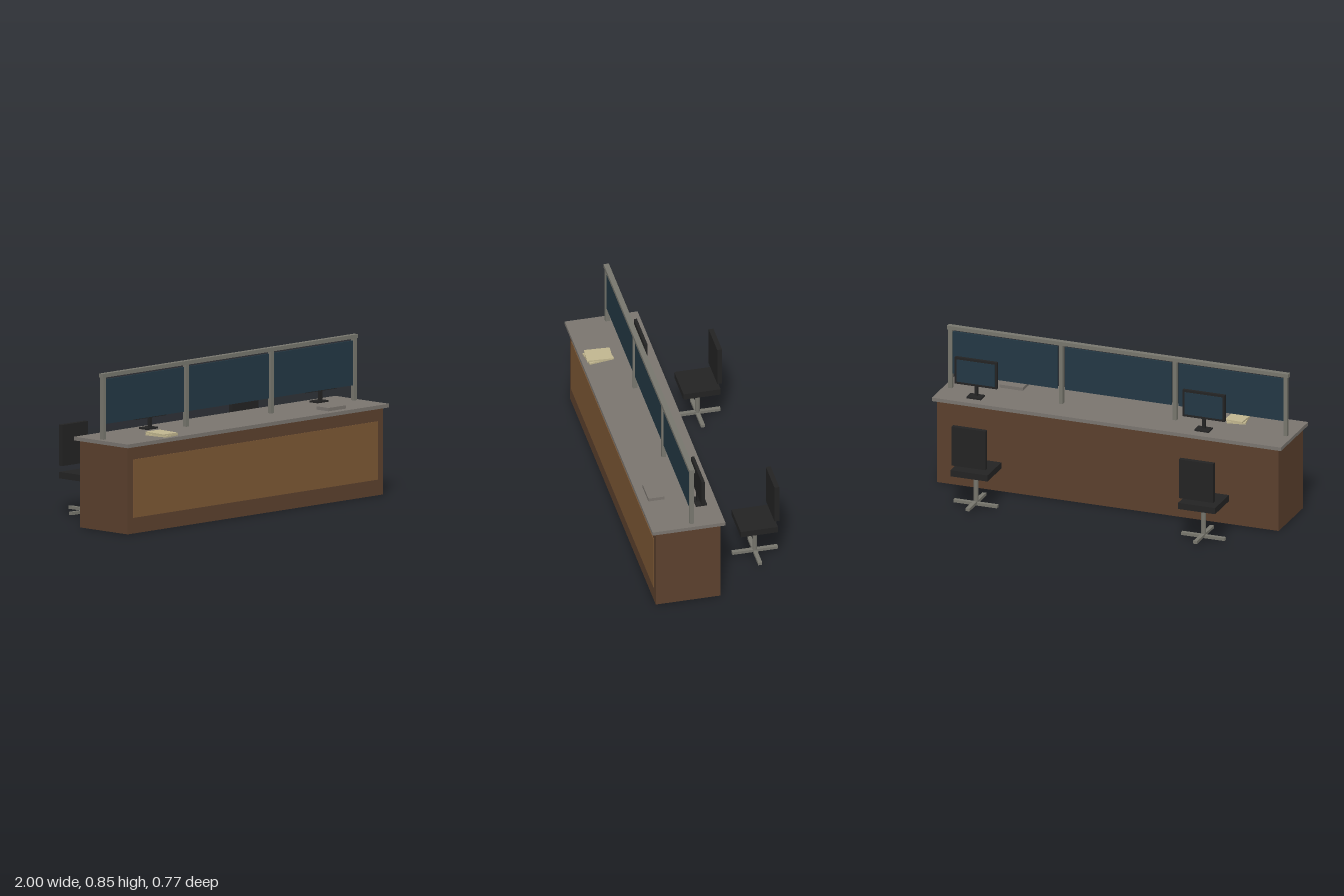
import * as THREE from 'three';

const mat = (name, color) => {
  const m = new THREE.MeshStandardMaterial({ color });
  m.name = name;
  return m;
};

export function createModel() {
  const wood = mat('dark wood', 0x5b402d);
  const panelWood = mat('light wood', 0x7c5734);
  const stone = mat('counter grey', 0x7a756f);
  const metal = mat('metal grey', 0x77766d);
  const glass = mat('blue glass', 0x233844);
  const black = mat('black', 0x232323);
  const paper = mat('paper', 0xc1b68f);

  const model = new THREE.Group();
  model.name = 'serviceCounter';

  // Box given by its [min, max] extent on each axis
  const box = (parent, name, material, [x0, x1], [y0, y1], [z0, z1]) => {
    const mesh = new THREE.Mesh(new THREE.BoxGeometry(x1 - x0, y1 - y0, z1 - z0), material);
    mesh.position.set((x0 + x1) / 2, (y0 + y1) / 2, (z0 + z1) / 2);
    mesh.name = name;
    parent.add(mesh);
    return mesh;
  };
  const group = (name, x) => {
    const g = new THREE.Group();
    g.name = name;
    g.position.x = x;
    model.add(g);
    return g;
  };

  // Counter
  box(model, 'counterBase', wood, [-0.978, 0.978], [0, 0.47], [0.008, 0.362]);
  box(model, 'frontPanel', panelWood, [-0.937, 0.937], [0.085, 0.4], [0.358, 0.365]);
  box(model, 'counterTop', stone, [-1, 1], [0.47, 0.49], [-0.015, 0.385]);

  // Divider screen: posts, top rail and three panes
  for (const x of [-0.96, -0.326, 0.326, 0.96]) {
    box(model, 'dividerPost', metal, [x - 0.011, x + 0.011], [0.49, 0.826], [0.15, 0.174]);
  }
  box(model, 'dividerRail', metal, [-0.978, 0.978], [0.825, 0.846], [0.148, 0.177]);
  for (const x of [-0.652, 0, 0.652]) {
    box(model, 'glassPane', glass, [x - 0.305, x + 0.305], [0.572, 0.813], [0.157, 0.167]);
  }

  // Monitors, facing the chairs
  for (const x of [-0.522, 0.783]) {
    const g = group('monitor', x);
    box(g, 'monitorFoot', black, [-0.041, 0.041], [0.49, 0.499], [0.043, 0.104]);
    box(g, 'monitorNeck', black, [-0.008, 0.008], [0.498, 0.56], [0.075, 0.091]);
    box(g, 'monitorBody', black, [-0.121, 0.121], [0.552, 0.704], [0.075, 0.092]);
    box(g, 'monitorScreen', glass, [-0.109, 0.109], [0.565, 0.692], [0.073, 0.077]);
  }

  // Papers and tray on the counter
  [0.15, -0.06].forEach((turn, i) => {
    const sheet = box(model, 'paperStack', paper, [-0.692, -0.59],
      [0.49 + i * 0.009, 0.499 + i * 0.009], [0.217, 0.357]);
    sheet.rotation.y = turn;
  });
  box(model, 'tray', stone, [0.583, 0.716], [0.49, 0.508], [0.252, 0.339]);

  // Swivel chairs
  for (const x of [-0.652, 0.652]) {
    const g = group('chair', x);
    box(g, 'seat', black, [-0.106, 0.106], [0.201, 0.236], [-0.362, -0.158]);
    box(g, 'backrest', black, [-0.098, 0.098], [0.268, 0.49], [-0.371, -0.345]);
    const stem = new THREE.Mesh(new THREE.CylinderGeometry(0.0135, 0.0135, 0.17, 8), metal);
    stem.position.set(0, 0.118, -0.26);
    stem.name = 'chairStem';
    g.add(stem);
    box(g, 'footBarLong', metal, [-0.011, 0.011], [0.024, 0.04], [-0.385, -0.135]);
    box(g, 'footBarCross', metal, [-0.125, 0.125], [0.016, 0.032], [-0.271, -0.249]);
  }

  return model;
}
